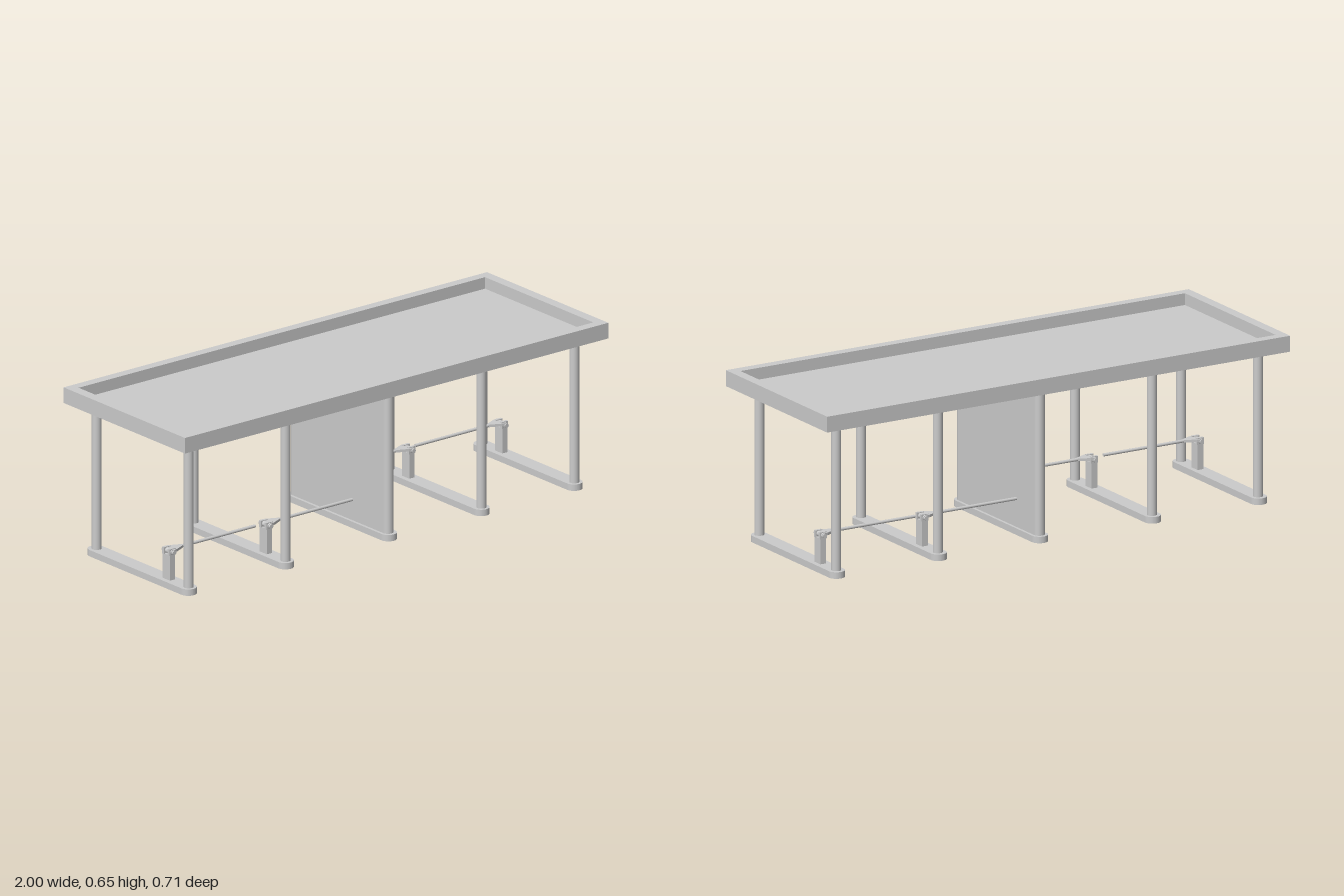
import * as THREE from 'three';

const material = new THREE.MeshStandardMaterial({ color: 0xcccccc });

function add(parent, name, geometry, x = 0, y = 0, z = 0) {
  const mesh = new THREE.Mesh(geometry, material);
  mesh.name = name;
  mesh.position.set(x, y, z);
  parent.add(mesh);
  return mesh;
}

// Upright prism with half-round ends, long along z, standing on its base
function stadiumPrism(radius, halfLength, height) {
  const c = halfLength - radius;
  const shape = new THREE.Shape();
  shape.absarc(0, c, radius, 0, Math.PI, false);
  shape.absarc(0, -c, radius, Math.PI, Math.PI * 2, false);
  shape.closePath();
  return new THREE.ExtrudeGeometry(shape, { depth: height, bevelEnabled: false, curveSegments: 16 })
    .rotateX(-Math.PI / 2);
}

function rectanglePath(path, hx, hy) {
  path.moveTo(-hx, -hy);
  path.lineTo(hx, -hy);
  path.lineTo(hx, hy);
  path.lineTo(-hx, hy);
  path.closePath();
  return path;
}

// Shallow tray: raised rim around a recessed floor
function makeTray() {
  const tray = new THREE.Group();
  tray.name = 'tableTop';
  const rim = rectanglePath(new THREE.Shape(), 1, 0.355);
  rim.holes.push(rectanglePath(new THREE.Path(), 0.96, 0.317));
  const rimGeometry = new THREE.ExtrudeGeometry(rim, { depth: 0.061, bevelEnabled: false })
    .rotateX(-Math.PI / 2);
  add(tray, 'rim', rimGeometry, 0, 0.587, 0);
  add(tray, 'trayFloor', new THREE.BoxGeometry(1.92, 0.016, 0.634), 0, 0.595, 0);
  return tray;
}

// Hinged arm on a small pedestal; the rod points along +x
function makeArm() {
  const arm = new THREE.Group();
  arm.name = 'hingedArm';
  add(arm, 'pedestal', new THREE.BoxGeometry(0.025, 0.1, 0.042), 0, 0.073, 0);
  const pinY = 0.134;
  const across = (radius, length) =>
    new THREE.CylinderGeometry(radius, radius, length, 20).rotateX(Math.PI / 2);
  add(arm, 'hingePin', across(0.0085, 0.066), 0, pinY, 0);
  add(arm, 'hingeBarrel', across(0.0105, 0.054), 0, pinY, 0);
  for (const side of [-1, 1]) {
    add(arm, 'hingeEar', new THREE.BoxGeometry(0.03, 0.026, 0.011), 0, pinY, side * 0.016);
  }
  // Yoke tapering from the hinge to the rod
  const yoke = new THREE.Shape();
  yoke.moveTo(0, -0.03);
  yoke.lineTo(0.018, -0.026);
  yoke.lineTo(0.062, -0.006);
  yoke.lineTo(0.062, 0.006);
  yoke.lineTo(0.018, 0.026);
  yoke.lineTo(0, 0.03);
  yoke.closePath();
  const yokeGeometry = new THREE.ExtrudeGeometry(yoke, { depth: 0.01, bevelEnabled: false })
    .rotateX(-Math.PI / 2);
  add(arm, 'yoke', yokeGeometry, 0, 0.134, 0);
  add(arm, 'rod', new THREE.CylinderGeometry(0.006, 0.006, 0.365, 12).rotateZ(Math.PI / 2),
    0.2245, 0.139, 0);
  return arm;
}

export function createModel() {
  const model = new THREE.Group();
  model.name = 'table';
  model.add(makeTray());

  const frameX = [-0.915, -0.457, 0.03, 0.468, 0.907];
  frameX.forEach((x, i) => {
    const frame = new THREE.Group();
    frame.name = i === 2 ? 'centreSupport' : 'legFrame';
    frame.position.x = x;
    add(frame, 'foot', stadiumPrism(0.032, 0.301, 0.025));
    if (i === 2) {
      // Solid panel in the middle
      add(frame, 'panel', stadiumPrism(0.021, 0.288, 0.562), 0, 0.025, 0);
    } else {
      for (const z of [0.271, -0.267]) {
        add(frame, 'post', new THREE.CylinderGeometry(0.0185, 0.0185, 0.562, 24), 0, 0.306, z);
      }
      // Arms point inward, toward the front on one half and the back on the other
      const arm = makeArm();
      arm.position.z = x < 0 ? 0.156 : -0.156;
      arm.rotation.y = x < 0 ? 0 : Math.PI;
      frame.add(arm);
    }
    model.add(frame);
  });
  return model;
}
